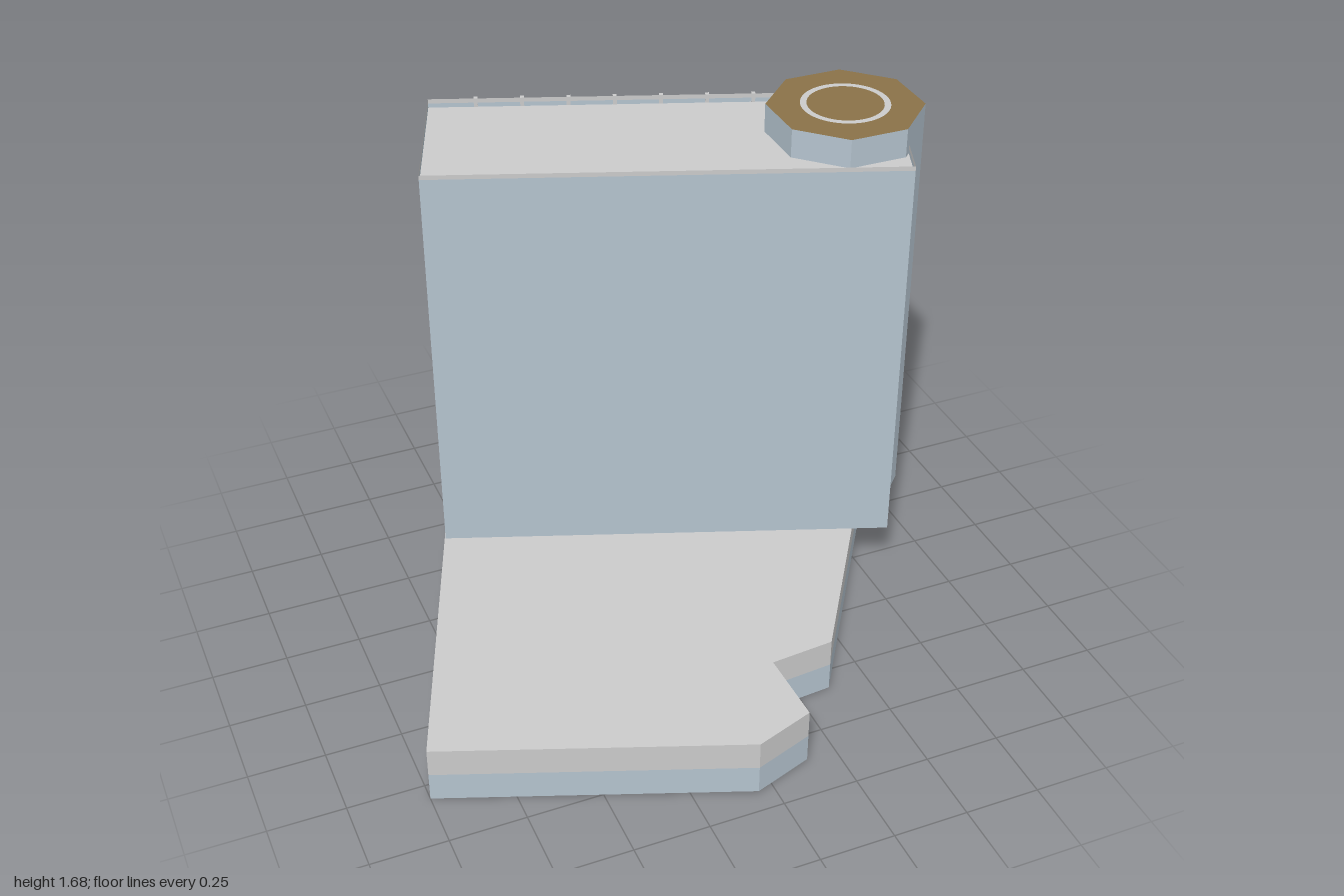
import * as THREE from 'three';

const mat = (color) => new THREE.MeshStandardMaterial({ color, side: THREE.DoubleSide });

// Open ring of upright walls along a plan outline of [x, z] corners
function walls(name, plan, y0, y1, material) {
  const pos = [];
  plan.forEach(([ax, az], i) => {
    const [bx, bz] = plan[(i + 1) % plan.length];
    pos.push(ax, y0, az, ax, y1, az, bx, y1, bz);
    pos.push(ax, y0, az, bx, y1, bz, bx, y0, bz);
  });
  const geo = new THREE.BufferGeometry();
  geo.setAttribute('position', new THREE.Float32BufferAttribute(pos, 3));
  geo.computeVertexNormals();
  const mesh = new THREE.Mesh(geo, material);
  mesh.name = name;
  return mesh;
}

// Flat deck over the same kind of outline
function deck(name, plan, y, material) {
  const shape = new THREE.Shape(plan.map(([x, z]) => new THREE.Vector2(x, -z)));
  const geo = new THREE.ShapeGeometry(shape).rotateX(-Math.PI / 2).translate(0, y, 0);
  const mesh = new THREE.Mesh(geo, material);
  mesh.name = name;
  return mesh;
}

export function createModel() {
  const group = new THREE.Group();
  group.name = 'towerBuilding';
  const grey = mat(0xcccccc), glass = mat(0xb5c4cf), ochre = mat(0x8a7248);

  // Podium shell, open below: glazed lower storey, solid upper band
  const podium = [[-0.44, -0.922], [1, -0.39], [0.363, 0.58], [0.145, 0.598],
    [0.15, 0.853], [-0.05, 0.922], [-1, 0.56]];
  group.add(walls('podiumGlazing', podium, 0, 0.1, glass));
  group.add(walls('podiumBand', podium, 0.1, 0.198, grey));
  group.add(deck('podiumDeck', podium, 0.198, grey));

  // Tower slab: walls rise past the sunken roof as a thin parapet
  const tower = [[-0.44, -0.922], [1, -0.39], [0.813, 0.114], [-0.626, -0.42]];
  group.add(walls('towerWalls', tower, 0.198, 1.593, glass));
  group.add(walls('parapetCoping', tower, 1.593, 1.608, grey));
  group.add(deck('roof', tower, 1.578, grey));

  // Octagonal corner column carrying the landing pad
  const octagon = [];
  for (let i = 0; i < 8; i++) {
    const a = Math.PI / 8 + i * Math.PI / 4;
    octagon.push([0.745 + 0.2565 * Math.cos(a), -0.24 + 0.2565 * Math.sin(a)]);
  }
  group.add(walls('cornerColumn', octagon, 0.198, 1.676, glass));
  group.add(deck('landingPad', octagon, 1.676, ochre));

  // Painted circle on the pad
  const ring = new THREE.Mesh(new THREE.RingGeometry(0.125, 0.146, 48), grey);
  ring.name = 'padCircle';
  ring.rotation.x = -Math.PI / 2;
  ring.position.set(0.745, 1.678, -0.24);
  group.add(ring);

  // Vertical fins standing just outside the back wall
  const angle = Math.atan2(0.532, 1.44);
  for (let i = 0; i < 8; i++) {
    const t = 0.102 + i * 0.0995;
    const fin = new THREE.Mesh(new THREE.BoxGeometry(0.013, 1.41, 0.016), grey);
    fin.name = 'backFin';
    fin.position.set(-0.44 + 1.44 * t, 0.903, -0.922 + 0.532 * t);
    fin.rotation.y = -angle;
    fin.translateZ(-0.007);
    group.add(fin);
  }
  return group;
}
